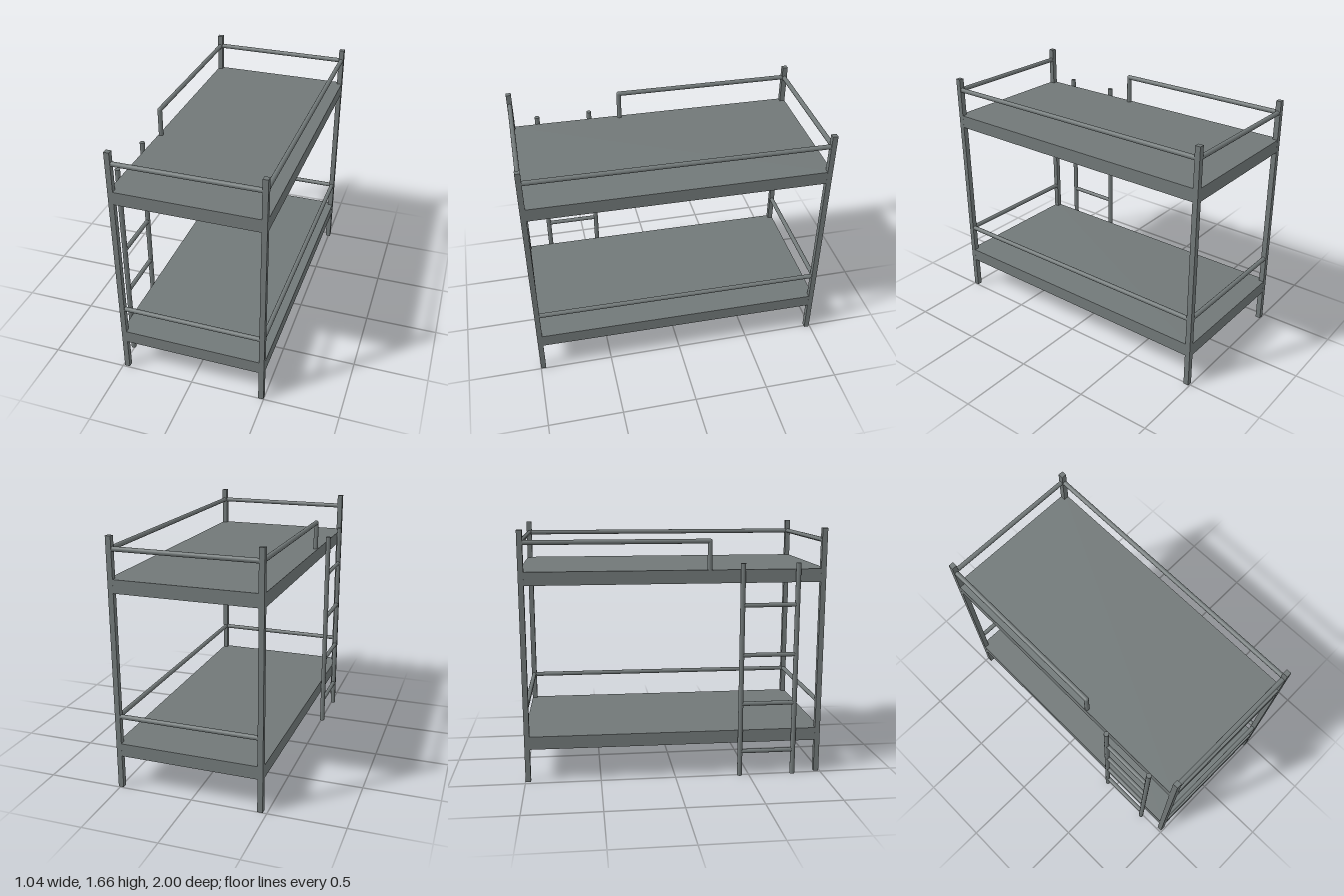
import * as THREE from 'three';

export function createModel() {
  const model = new THREE.Group();
  model.name = 'bunkBed';
  const steel = new THREE.MeshStandardMaterial({ color: 0x717878 });
  steel.name = 'grey steel';

  const W = 0.4935, L = 0.996, POST = 0.035, H = 1.66;
  const px = W - POST / 2, pz = L - POST / 2; // post centre lines

  function add(geometry, name, x, y, z) {
    const mesh = new THREE.Mesh(geometry, steel);
    mesh.name = name;
    mesh.position.set(x, y, z);
    model.add(mesh);
    return mesh;
  }

  // Round bar between two points
  function bar(name, a, b, radius) {
    const from = new THREE.Vector3(...a), to = new THREE.Vector3(...b);
    const dir = to.clone().sub(from);
    const mid = from.clone().add(to).multiplyScalar(0.5);
    const mesh = add(new THREE.CylinderGeometry(radius, radius, dir.length(), 20), name, mid.x, mid.y, mid.z);
    mesh.quaternion.setFromUnitVectors(new THREE.Vector3(0, 1, 0), dir.normalize());
  }

  // Four square corner posts
  for (const sx of [-1, 1]) {
    for (const sz of [-1, 1]) {
      add(new THREE.BoxGeometry(POST, H, POST), 'cornerPost', sx * px, H / 2, sz * pz);
    }
  }

  // Two bunks, each with end rails and a wall-side rail
  const R = 0.0155;
  for (const [bedY, railY, level] of [[0.268, 0.495, 'lower'], [1.353, 1.58, 'upper']]) {
    add(new THREE.BoxGeometry(2 * W - 0.001, 0.087, 2 * L - 0.001), level + 'Bunk', 0, bedY, 0);
    for (const sz of [-1, 1]) bar(level + 'EndRail', [-px, railY, sz * pz], [px, railY, sz * pz], R);
    bar(level + 'SideRail', [px, railY, -pz], [px, railY, pz], R);
  }

  // Short guard rail on the ladder side, with its upright and rounded elbow
  const guardZ = 0.228;
  bar('guardRail', [-px, 1.58, -pz], [-px, 1.58, guardZ], R);
  bar('guardUpright', [-px, 1.37, guardZ], [-px, 1.58, guardZ], R);
  add(new THREE.SphereGeometry(R, 20, 12), 'guardElbow', -px, 1.58, guardZ);

  // Ladder
  const lx = -0.516, z0 = 0.44, z1 = 0.804;
  for (const z of [z0, z1]) bar('ladderUpright', [lx, 0, z], [lx, 1.44, z], 0.0165);
  for (let i = 0; i < 4; i++) {
    const y = 0.17 + i * 0.332;
    bar('ladderRung', [lx, y, z0], [lx, y, z1], 0.0145);
  }

  // The bed stands very slightly turned
  model.rotation.y = -0.0075;
  model.position.x = 0.0125;
  const root = new THREE.Group();
  root.add(model);
  return root;
}
